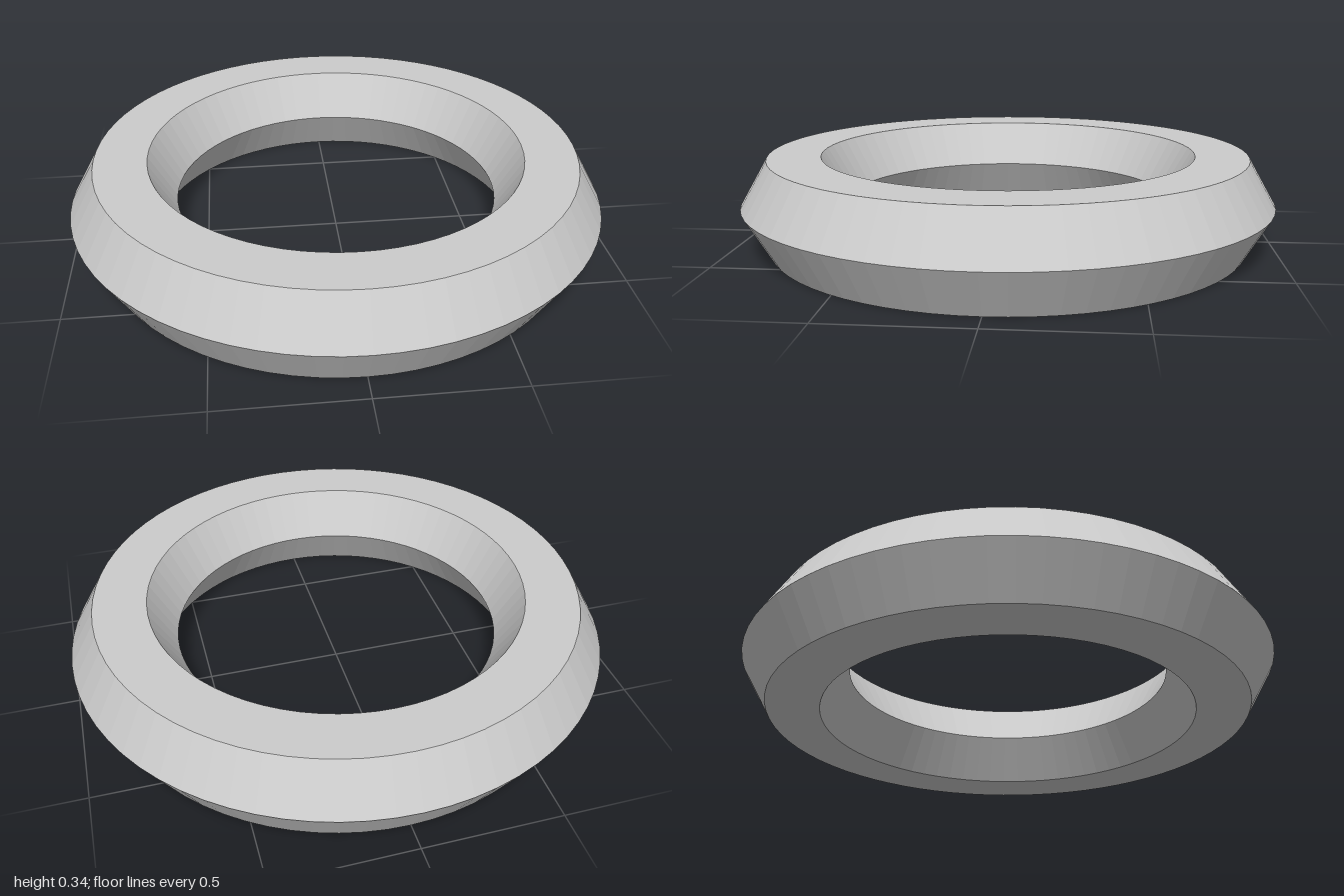
import * as THREE from 'three';

export function createModel() {
  const group = new THREE.Group();
  group.name = 'hexagonalRing';

  const tubeRadius = 0.197;
  const ringRadius = 1 - tubeRadius;
  const height = tubeRadius * Math.sqrt(3);

  // Ring with a six-sided section, points facing outward and inward, laid flat
  const geometry = new THREE.TorusGeometry(ringRadius, tubeRadius, 6, 72);
  geometry.rotateX(-Math.PI / 2);
  geometry.translate(0, height / 2, 0);

  const material = new THREE.MeshStandardMaterial({ color: 0xcccccc, flatShading: true });
  const ring = new THREE.Mesh(geometry, material);
  ring.name = 'ring';
  group.add(ring);

  return group;
}
